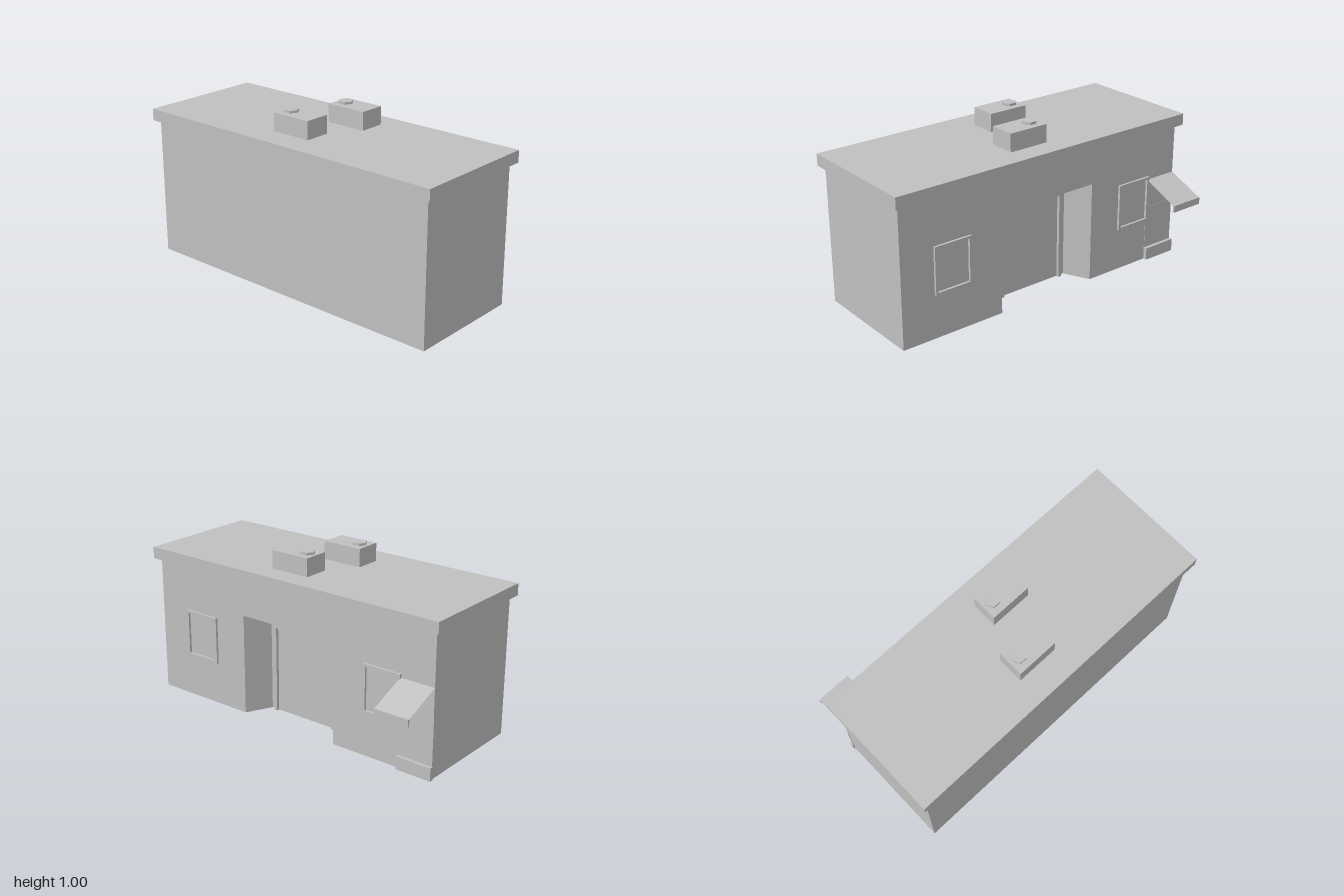
import * as THREE from 'three';

export function createModel() {
  const model = new THREE.Group();
  const grey = new THREE.MeshStandardMaterial({ color: 0xc0c0c0, flatShading: true, side: THREE.DoubleSide });
  grey.name = 'plain grey';

  const add = (name, geometry, parent = model) => {
    const mesh = new THREE.Mesh(geometry, grey);
    mesh.name = name;
    parent.add(mesh);
    return mesh;
  };
  // Box given by its limits on each axis
  const box = (name, x0, x1, y0, y1, z0, z1, parent) => {
    const g = new THREE.BoxGeometry(x1 - x0, y1 - y0, z1 - z0);
    g.translate((x0 + x1) / 2, (y0 + y1) / 2, (z0 + z1) / 2);
    return add(name, g, parent);
  };

  // Lower walls: floor plan with a splayed entrance alcove in the back
  const plan = [[-0.97, 0.45], [0.97, 0.45], [0.97, -0.25], [0.323, -0.25],
    [0.25, -0.095], [-0.25, -0.095], [-0.323, -0.25], [-0.97, -0.25]];
  const shape = new THREE.Shape(plan.map(([x, z]) => new THREE.Vector2(x, -z)));
  const lower = new THREE.ExtrudeGeometry(shape, { depth: 0.6, bevelEnabled: false });
  lower.rotateX(-Math.PI / 2);
  add('lowerWalls', lower);
  box('upperWalls', -0.97, 0.97, 0.6, 0.815, -0.25, 0.45);
  box('roofSlab', -1, 1, 0.815, 0.884, -0.285, 0.48);

  // Raised frame on a back-facing wall at z, optionally without a sill
  const frame = (name, x0, x1, y0, y1, z, bar, depth, sill) => {
    const group = new THREE.Group();
    group.name = name;
    model.add(group);
    box('frameSide', x0, x0 + bar, y0, y1, z - depth, z, group);
    box('frameSide', x1 - bar, x1, y0, y1, z - depth, z, group);
    box('frameTop', x0 + bar, x1 - bar, y1 - bar, y1, z - depth, z, group);
    if (sill) box('frameSill', x0 + bar, x1 - bar, y0, y0 + bar, z - depth, z, group);
  };
  frame('leftWindow', 0.53, 0.765, 0.257, 0.538, -0.25, 0.015, 0.014, true);
  frame('rightWindow', -0.765, -0.53, 0.257, 0.538, -0.25, 0.015, 0.014, true);
  frame('doorFrame', -0.22, 0.22, 0, 0.535, -0.095, 0.02, 0.018, false);

  // Serving hatch: sloping awning with a front lip, thin panel and low step
  const awning = new THREE.PlaneGeometry(0.21, Math.hypot(0.22, 0.092));
  awning.rotateX(-Math.PI / 2);
  awning.rotateX(-Math.atan2(0.092, 0.22));
  awning.translate(-0.865, 0.47, -0.36);
  add('awning', awning);
  box('awningLip', -0.97, -0.76, 0.383, 0.424, -0.48, -0.469);
  box('hatchPanel', -0.973, -0.76, 0, 0.34, -0.252, -0.249);
  box('hatchStep', -0.977, -0.76, 0, 0.076, -0.273, -0.249);

  // Roof units, each with a hexagonal cap
  for (const [x, z, capX] of [[0.06, -0.077, -0.005], [-0.053, 0.243, -0.118]]) {
    const unit = new THREE.Group();
    unit.name = 'roofUnit';
    model.add(unit);
    box('unitBody', x - 0.124, x + 0.124, 0.884, 0.99, z - 0.077, z + 0.077, unit);
    const cap = new THREE.CylinderGeometry(0.043, 0.043, 0.014, 6);
    cap.rotateY(Math.PI / 2);
    cap.translate(capX, 0.997, z);
    add('unitCap', cap, unit);
  }
  return model;
}
